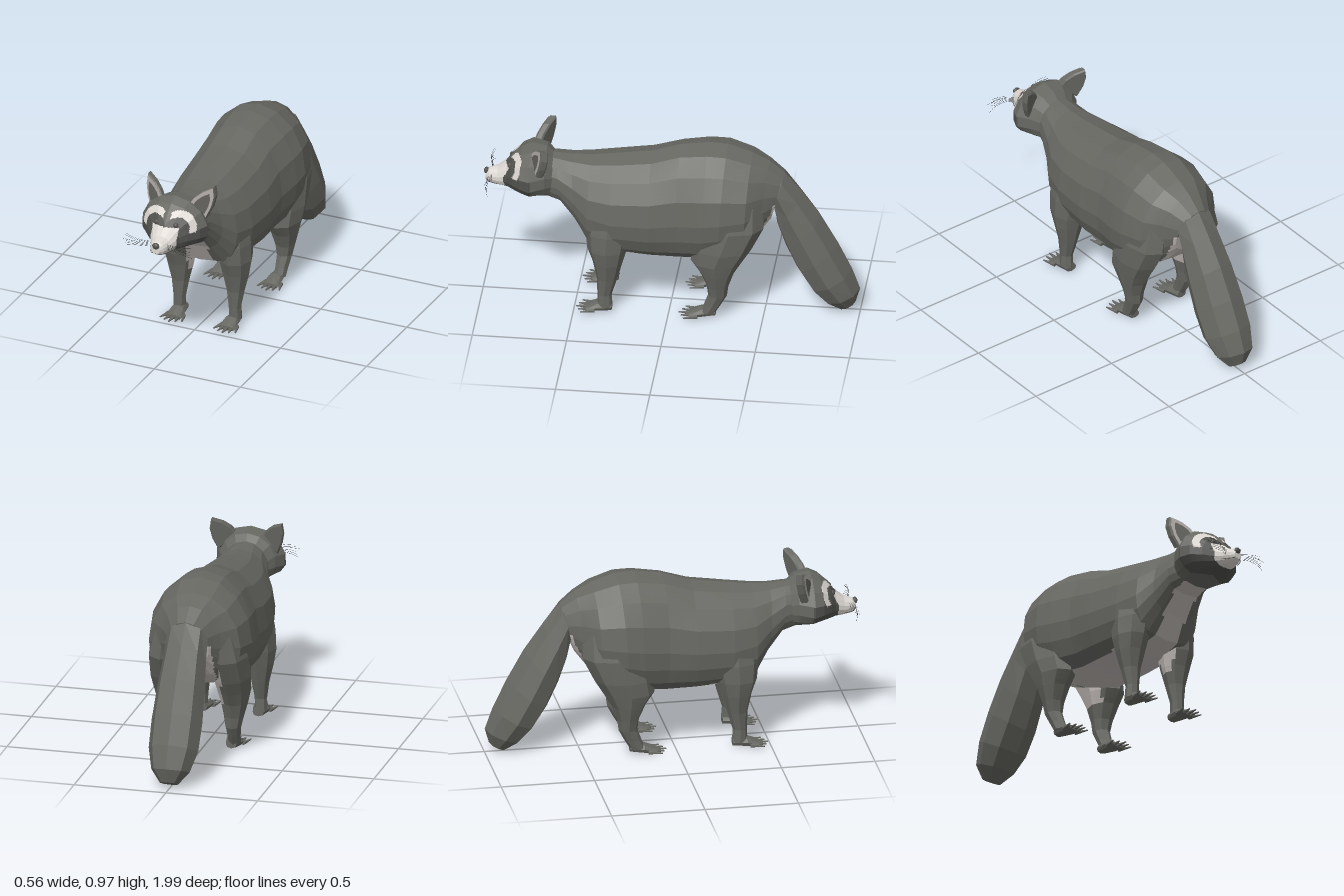
import * as THREE from 'three';

const mat = (name, color, side = THREE.FrontSide) => {
  const m = new THREE.MeshStandardMaterial({ color, side });
  m.name = name;
  return m;
};
const V = (x, y, z) => new THREE.Vector3(x, y, z);

// Closed ring between a top point and a bottom point; low < 1 makes the lower half fuller
function ringZ([zT, yT, zB, yB, hw], n, x0 = 0, wide = 0.5, low = 0.7) {
  return Array.from({ length: n }, (_, j) => {
    const a = (j / n) * Math.PI * 2, c = Math.cos(a), s = Math.sin(a);
    const t = c > 0 ? wide + (1 - wide) * c : wide * (1 + c);
    const w = c < -0.001 ? Math.sign(s) * Math.abs(s) ** low : s;
    return V(x0 + hw * w, yB + (yT - yB) * t, zB + (zT - zB) * t);
  });
}

// Horizontal oval ring
function ringY([y, x, z, rx, rz], n, side) {
  return Array.from({ length: n }, (_, j) => {
    const a = (j / n) * Math.PI * 2;
    return V(side * x + rx * Math.sin(a), y, z + rz * Math.cos(a));
  });
}

// Faceted skin over rings; each facet can be divided and coloured by its centre
function loft(name, rings, sub, mats, pick = () => 0) {
  const fine = rings.map(r => r.flatMap((p, j) =>
    Array.from({ length: sub }, (_, k) => p.clone().lerp(r[(j + 1) % r.length], k / sub))));
  const rows = [];
  fine.forEach((r, i) => {
    if (i === fine.length - 1) return rows.push(r);
    for (let k = 0; k < sub; k++) rows.push(r.map((p, j) => p.clone().lerp(fine[i + 1][j], k / sub)));
  });
  const buckets = mats.map(() => []);
  const mid = pts => pts.reduce((s, p) => s.add(p), V(0, 0, 0)).divideScalar(pts.length);
  const face = (corners, order) => {
    const m = mid(corners), bucket = buckets[pick(m.x, m.y, m.z)];
    for (const i of order) bucket.push(...corners[i].toArray());
  };
  const n = rows[0].length, last = rows.length - 1;
  const c0 = mid(rows[0]), c1 = mid(rows[last]);
  for (let j = 0; j < n; j++) {
    const k = (j + 1) % n;
    for (let i = 0; i < last; i++)
      face([rows[i][j], rows[i][k], rows[i + 1][j], rows[i + 1][k]], [0, 1, 2, 1, 3, 2]);
    face([c0, rows[0][k], rows[0][j]], [0, 1, 2]);
    face([c1, rows[last][j], rows[last][k]], [0, 1, 2]);
  }
  const g = new THREE.BufferGeometry();
  g.setAttribute('position', new THREE.Float32BufferAttribute(buckets.flat(), 3));
  let start = 0;
  buckets.forEach((b, i) => {
    if (b.length) g.addGroup(start, b.length / 3, i);
    start += b.length / 3;
  });
  g.computeVertexNormals();
  const mesh = new THREE.Mesh(g, mats);
  mesh.name = name;
  return mesh;
}

export function createModel() {
  const root = new THREE.Group();
  root.name = 'raccoon';
  const fur = mat('grey fur', 0x676762), pale = mat('pale underfur', 0xbfb8b4);
  const white = mat('white markings', 0xdcd7d1), mask = mat('dark mask', 0x51514e);
  const black = mat('whisker black', 0x2e2e2d), nose = mat('nose and eye grey', 0x555350);
  const rim = mat('ear rim', 0xb2aca7, THREE.DoubleSide), inner = mat('ear hollow', 0x62615d, THREE.DoubleSide);
  const add = (name, geo, m, parent = root) => {
    const mesh = new THREE.Mesh(geo, m);
    mesh.name = name;
    parent.add(mesh);
    return mesh;
  };

  // Body: neck to rump, pale along chest, belly and under the tail
  const body = [
    [.68, .86, .66, .62, .11], [.6, .855, .58, .6, .135], [.52, .85, .5, .5, .165],
    [.42, .855, .43, .385, .215], [.3, .87, .3, .345, .245], [.1, .9, .1, .335, .26],
    [-.05, .95, -.05, .33, .255], [-.2, .972, -.18, .34, .275], [-.3, .968, -.27, .37, .28],
    [-.43, .925, -.4, .42, .25], [-.52, .88, -.47, .48, .17], [-.6, .815, -.53, .56, .115]];
  root.add(loft('body', body.map(s => ringZ(s, 16, 0, .42, .52)), 5, [fur, pale], (x, y, z) => {
    x = Math.abs(x);
    if (z > .36) return x < .076 && y < .645 ? 1 : 0;
    if (z < -.33) return x < .125 && y < .68 ? 1 : 0;
    return x < .16 && y < .39 ? 1 : 0;
  }));

  // Tail
  const tail = [
    [-.5, .8, -.5, .68, .06], [-.6, .813, -.54, .62, .113], [-.69, .705, -.56, .5, .118],
    [-.79, .565, -.605, .37, .13], [-.88, .405, -.665, .24, .138], [-.955, .25, -.735, .13, .135],
    [-.998, .13, -.81, .055, .105], [-.975, .05, -.89, .008, .05]];
  root.add(loft('tail', tail.map(s => ringZ(s, 8, 0, .5, 1)), 1, [fur]));

  // Head from nose tip to nape: z, top, bottom, half width, height of widest point
  const head = [
    [.985, .715, .67, .022, .692], [.965, .735, .657, .04, .695], [.92, .748, .65, .06, .7],
    [.87, .79, .648, .085, .715], [.84, .835, .645, .122, .725], [.79, .88, .64, .17, .73],
    [.74, .905, .63, .192, .725], [.66, .89, .62, .155, .74], [.62, .85, .62, .12, .73]];
  const headRings = head.map(([z, t, b, w, m]) => ringZ([z, t, z, b, w], 14, 0, (m - b) / (t - b), .75));
  root.add(loft('head', headRings, 10, [fur, white, mask], (x, y, z) => {
    x = Math.abs(x);
    const d = Math.hypot(x - .06, y - .765);
    if (z > .885 - (y - .66) * .25 && x < .075 && y < .782) return 1;
    if (z > .74 && x > .02 && y > .75 && d > .064 && d < .093) return 1;
    if (z > .73 && (d <= .064 || (y < .765 && y > .64))) return 2;
    return 0;
  }));

  // Nose and mouth
  const tip = add('nose', new THREE.SphereGeometry(.021, 8, 6).toNonIndexed(), nose);
  tip.geometry.computeVertexNormals();
  tip.scale.set(1, .85, .7);
  tip.position.set(0, .717, .982);
  const lip = new THREE.CatmullRomCurve3([V(-.058, .672, .92), V(-.032, .67, .97), V(0, .677, .984), V(.032, .67, .97), V(.058, .672, .92)]);
  add('mouth', new THREE.TubeGeometry(lip, 12, .002, 4), mask);

  // Ear outline, shared by shell, rim and hollow
  const outline = [[.07, .86], [.1, .905], [.14, .938], [.19, .96], [.197, .91], [.185, .85], [.16, .79]];
  const earShape = (k, side) => new THREE.Shape(outline.map(([x, y]) =>
    new THREE.Vector2(side * (.145 + (x - .145) * k), .865 + (y - .865) * k)));
  const lean = (g, dz) => {
    const p = g.attributes.position;
    for (let i = 0; i < p.count; i++)
      p.setZ(i, p.getZ(i) + dz + .738 - .5 * (Math.abs(p.getX(i)) - .08) - .1 * (p.getY(i) - .8));
    g.computeVertexNormals();
    return g;
  };

  const frontLeg = [
    [.03, .163, .335, .034, .04], [.1, .16, .338, .034, .038], [.2, .16, .325, .05, .055],
    [.3, .16, .322, .075, .08], [.38, .16, .325, .088, .105], [.48, .155, .32, .09, .12], [.62, .14, .31, .08, .11]];
  const hindLeg = [
    [.03, .165, -.21, .034, .04], [.08, .167, -.235, .036, .045], [.14, .17, -.262, .043, .05],
    [.2, .173, -.262, .055, .058], [.28, .175, -.258, .075, .09], [.35, .175, -.255, .09, .135],
    [.43, .174, -.285, .1, .155], [.56, .168, -.33, .1, .175], [.7, .15, -.34, .08, .16]];
  const paws = [
    { name: 'front', leg: frontLeg, palm: [[.435, .026, 0, .046], [.375, .055, 0, .043], [.3, .05, .004, .03]], z: .425 },
    { name: 'hind', leg: hindLeg, palm: [[-.11, .026, 0, .044], [-.175, .055, 0, .042], [-.25, .055, .01, .028]], z: -.12 }];

  for (const side of [1, -1]) {
    const label = side > 0 ? 'left' : 'right';

    // Ears
    const ear = new THREE.Group();
    ear.name = label + 'Ear';
    root.add(ear);
    const shell = new THREE.ExtrudeGeometry(earShape(.94, side), { depth: .026, bevelSize: .006, bevelThickness: .008, bevelSegments: 1 });
    add('earShell', lean(shell, -.028), fur, ear);
    add('earRim', lean(new THREE.ShapeGeometry(earShape(.96, side)), .008), rim, ear);
    add('earHollow', lean(new THREE.ShapeGeometry(earShape(.66, side)), .011), inner, ear);

    // Eyes
    const eye = add(label + 'Eye', new THREE.SphereGeometry(.016, 10, 8), nose);
    eye.position.set(side * .055, .79, .85);

    // Whiskers
    for (let i = 0; i < 6; i++) {
      const y = .69 + .006 * i, end = .675 + .014 * i;
      const path = new THREE.QuadraticBezierCurve3(
        V(side * .045, y, .945), V(side * .12, y + .012, .985), V(side * (.2 - .01 * (i % 3)), end, .955 + .005 * (i % 4)));
      add(label + 'Whisker', new THREE.TubeGeometry(path, 6, .0007, 3), black);
    }

    // Legs, paws and toes
    for (const { name, leg, palm, z } of paws) {
      const front = name === 'front';
      root.add(loft(`${label} ${name} leg`, leg.map(s => ringY(s, 8, side)), 3, [fur, pale], (x, y, pz) =>
        side * x < (front ? .1 : .14) && y > (front ? .27 : .29) && (front || pz < -.2) ? 1 : 0));
      root.add(loft(`${label} ${name} paw`, palm.map(([pz, t, b, w]) => ringZ([pz, t, pz, b, w], 8, side * .155)), 1, [fur]));
      for (let i = -2; i <= 2; i++) {
        const g = new THREE.CylinderGeometry(.004, .0135, .075, 6).toNonIndexed();
        g.rotateX(Math.PI / 2).translate(0, 0, .028).scale(1, .85, 1).rotateY(i * .16);
        g.translate(side * .155 + i * .0215, .0118, z - Math.abs(i) * .013);
        g.computeVertexNormals();
        add(`${label} ${name} toe`, g, fur);
      }
    }
  }
  return root;
}
